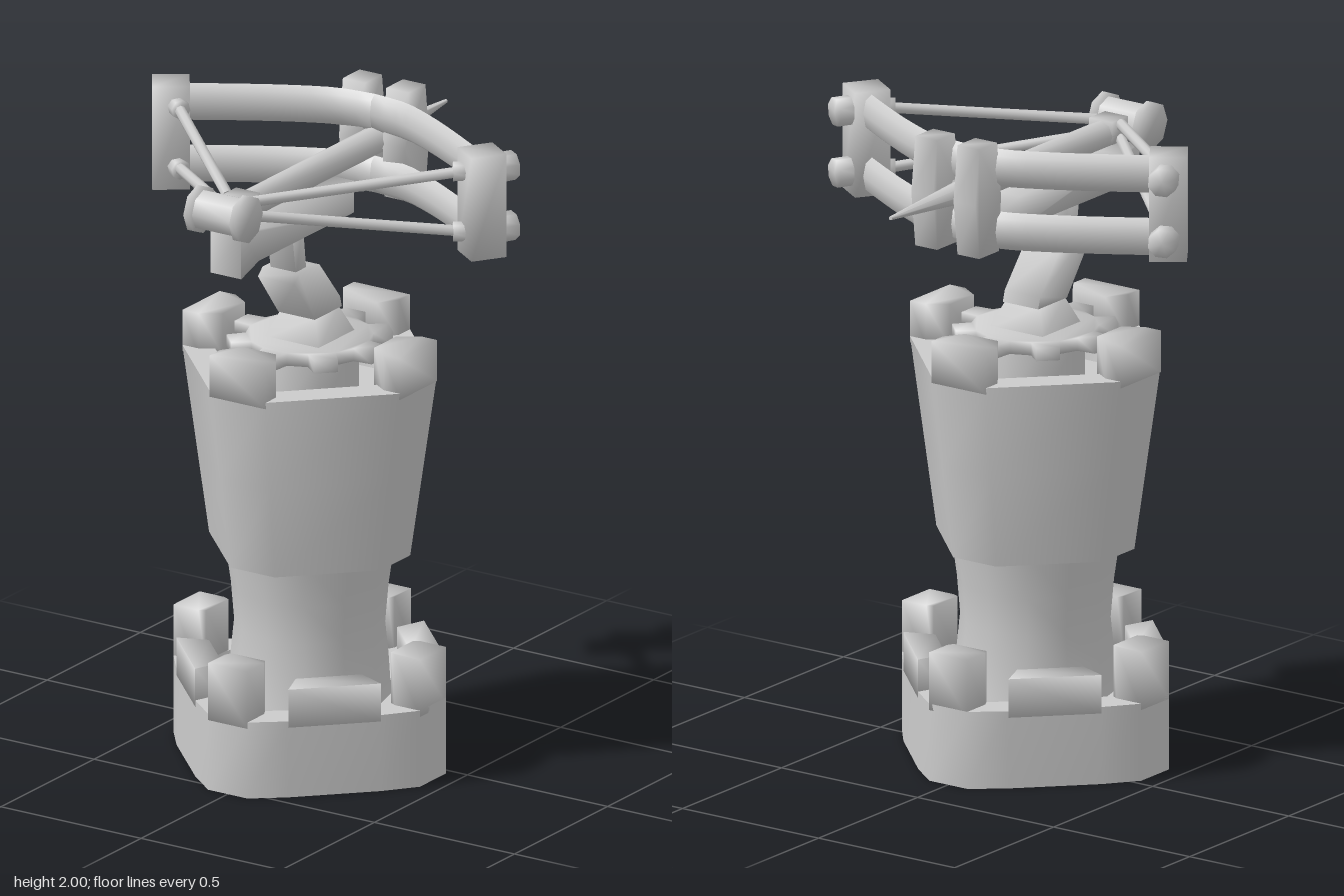
import * as THREE from 'three';
import { toCreasedNormals } from 'three/addons/utils/BufferGeometryUtils.js';

const CZ = 0.095; // z of the tower axis
const SOFT = 1.7; // crease angle that also rounds off right-angled edges
const material = new THREE.MeshStandardMaterial({ color: 0xcccccc });
const V = (x, y, z) => new THREE.Vector3(x, y, z);

function add(parent, name, geometry, crease = 0.9) {
  const mesh = new THREE.Mesh(toCreasedNormals(geometry, crease), material);
  mesh.name = name;
  parent.add(mesh);
  return mesh;
}

const shapeOf = (pts) => new THREE.Shape(pts.map(([x, y]) => new THREE.Vector2(x, y)));

// Plan outline raised from y0 to y1
function prism(pts, y0, y1) {
  const g = new THREE.ExtrudeGeometry(shapeOf(pts), { depth: y1 - y0, bevelEnabled: false });
  return g.rotateX(-Math.PI / 2).translate(0, y0, 0);
}

// Side outline of (z, y) points, extruded from x0 to x1
function sideProfile(pts, x0, x1) {
  const g = new THREE.ExtrudeGeometry(shapeOf(pts), { depth: x1 - x0, bevelEnabled: false });
  return g.rotateY(-Math.PI / 2).translate(x1, 0, 0);
}

// Cylinder or cone between two points
function rod(a, b, r0, r1 = r0, sides = 8) {
  const d = b.clone().sub(a);
  const g = new THREE.CylinderGeometry(r1, r0, d.length(), sides);
  g.applyQuaternion(new THREE.Quaternion().setFromUnitVectors(V(0, 1, 0), d.clone().normalize()));
  const m = a.clone().add(b).multiplyScalar(0.5);
  return g.translate(m.x, m.y, m.z);
}

// Loft through rings [y, scale]; the outline is a quarter repeated four times
function quarterLoft(quarter, rings) {
  const pos = [];
  const idx = [];
  const n = quarter.length * 4;
  for (const [y, f] of rings) {
    for (let k = 0; k < 4; k++) {
      const c = Math.cos(k * Math.PI / 2), s = Math.sin(k * Math.PI / 2);
      for (const [a, t] of quarter) pos.push(f * (a * c - t * s), y, -f * (a * s + t * c));
    }
  }
  for (let i = 0; i < rings.length - 1; i++) {
    for (let j = 0; j < n; j++) {
      const a = i * n + j, b = i * n + (j + 1) % n;
      idx.push(a, b, b + n, a, b + n, a + n);
    }
  }
  const g = new THREE.BufferGeometry();
  g.setAttribute('position', new THREE.Float32BufferAttribute(pos, 3));
  g.setIndex(idx);
  return g;
}

function lathe(pts, sides) {
  return new THREE.LatheGeometry(pts.map(([r, y]) => new THREE.Vector2(r, y)), sides);
}

function buildTower() {
  const tower = new THREE.Group();
  tower.name = 'tower';
  tower.position.z = CZ;

  // Footing ring with recessed underside, and the waisted shaft
  const footing = [[0.44, -0.07], [0.44, 0.07], [0.365, 0.165], [0.165, 0.365]];
  add(tower, 'footing', quarterLoft(footing, [[0.07, 0.55], [0.06, 0.85], [0, 0.93], [0, 1], [0.24, 1],
    [0.24, 0.75], [0.2, 0.72], [0.2, 0.5]]));
  add(tower, 'shaft', lathe([[0, 0.17], [0.26, 0.17], [0.27, 0.065], [0.28, 0.065], [0.24, 0.24], [0.235, 0.32],
    [0.225, 0.42], [0.235, 0.54], [0.255, 0.68]], 12));

  // Footing battlements: tall on the axes, low and wide on the diagonals
  const tall = [[0.33, -0.06], [0.35, -0.07], [0.44, -0.07], [0.44, 0.07], [0.35, 0.07], [0.33, 0.06]];
  const low = [[0.285, -0.1], [0.375, -0.14], [0.375, 0.14], [0.285, 0.1]];
  for (let i = 0; i < 4; i++) {
    add(tower, 'tallMerlon', prism(tall, 0.22, 0.4), SOFT).rotation.y = i * Math.PI / 2;
    add(tower, 'lowMerlon', prism(low, 0.22, 0.34), SOFT).rotation.y = (i + 0.5) * Math.PI / 2;
  }

  // Flared upper body with a recessed top
  add(tower, 'upperBody', quarterLoft([[0.388, -0.1], [0.388, 0.1]], [[0.66, 0], [0.66, 0.79], [0.95, 0.895],
    [1.24, 1], [1.24, 0.74], [1.14, 0.71], [1.14, 0]]));
  const merlon = [[0.27, -0.06], [0.33, -0.1], [0.388, -0.1], [0.388, 0.1], [0.33, 0.1], [0.27, 0.06]];
  for (let i = 0; i < 4; i++) {
    add(tower, 'upperMerlon', prism(merlon, 1.22, 1.35), SOFT).rotation.y = i * Math.PI / 2;
  }

  // Turning gear
  const teeth = [];
  for (let i = 0; i < 8; i++) {
    const c = Math.cos(i * Math.PI / 4), s = Math.sin(i * Math.PI / 4);
    for (const [r, t] of [[0.185, -0.042], [0.245, -0.036], [0.245, 0.036], [0.185, 0.042]]) {
      teeth.push([r * c - t * s, r * s + t * c]);
    }
  }
  add(tower, 'gearColumn', new THREE.CylinderGeometry(0.15, 0.15, 0.16, 8).translate(0, 1.215, 0));
  add(tower, 'gear', prism(teeth, 1.285, 1.325), SOFT);
  return tower;
}

function buildMount() {
  const mount = new THREE.Group();
  mount.name = 'mount';
  // Tapered pedestal, bent neck and post
  const pedestal = new THREE.CylinderGeometry(0.062 * Math.SQRT2, 0.1 * Math.SQRT2, 0.09, 4);
  add(mount, 'pedestal', pedestal.rotateY(Math.PI / 4).translate(0, 1.36, CZ), SOFT);
  add(mount, 'neck', sideProfile([[0.165, 1.4], [0.275, 1.545], [0.25, 1.568], [0.14, 1.568], [0.03, 1.435], [0.02, 1.4]],
    -0.065, 0.065), SOFT);
  add(mount, 'post', sideProfile([[0.235, 1.55], [0.26, 1.72], [0.2, 1.72], [0.18, 1.55]], -0.045, 0.045), SOFT);
  return mount;
}

function buildBow() {
  const bow = new THREE.Group();
  bow.name = 'bow';

  // Stock with a flared butt, and the bolt lying above it
  add(bow, 'stock', sideProfile([[0.545, 1.64], [0.45, 1.67], [-0.06, 1.67], [-0.06, 1.77], [0.45, 1.77], [0.545, 1.78]],
    -0.055, 0.055), SOFT);
  add(bow, 'boltShaft', rod(V(0, 1.83, 0.47), V(0, 1.83, -0.28), 0.043));
  add(bow, 'boltTip', rod(V(0, 1.83, -0.27), V(0, 1.838, -0.637), 0.038, 0.006));

  // Winch drum that draws the strings
  add(bow, 'drumLink', new THREE.BoxGeometry(0.085, 0.07, 0.08).translate(0, 1.84, 0.465), SOFT);
  add(bow, 'drum', rod(V(-0.08, 1.84, 0.56), V(0.08, 1.84, 0.56), 0.062));

  for (const s of [-1, 1]) {
    add(bow, 'drumFlange', rod(V(s * 0.07, 1.84, 0.56), V(s * 0.093, 1.84, 0.56), 0.074), SOFT);

    // Clamp post beside the bolt
    add(bow, 'clamp', sideProfile([[-0.25, 1.66], [-0.35, 1.66], [-0.37, 1.83], [-0.35, 2], [-0.26, 2], [-0.24, 1.83]],
      s * 0.0775 - 0.04, s * 0.0775 + 0.04), SOFT);

    // Upright block at the end of the limbs
    const block = add(bow, 'limbEnd', new THREE.BoxGeometry(0.112, 0.325, 0.112), SOFT);
    block.position.set(s * 0.555, 1.822, 0.005);
    block.rotation.y = s * -0.6;

    for (const y of [1.92, 1.73]) {
      const path = new THREE.CatmullRomCurve3([V(0, 0, -0.255), V(s * 0.12, 0, -0.24), V(s * 0.24, 0, -0.188),
        V(s * 0.38, 0, -0.11), V(s * 0.55, 0, -0.005)]);
      // Flattened bow limb
      const limb = new THREE.TubeGeometry(path, 12, 0.027, 8).scale(1, 2.15, 1).translate(0, y > 1.8 ? 1.917 : 1.722, 0);
      add(bow, 'limb', limb, 1.1);
      // Rear peg, string cap and string
      add(bow, 'peg', rod(V(s * 0.56, y, -0.01), V(s * 0.602, y, -0.092), 0.045), SOFT);
      add(bow, 'stringCap', rod(V(s * 0.54, y, 0.015), V(s * 0.485, y, 0.055), 0.03), SOFT);
      add(bow, 'string', rod(V(s * 0.51, y, 0.035), V(s * 0.045, y > 1.8 ? 1.86 : 1.815, 0.465), 0.017));
    }
  }
  return bow;
}

export function createModel() {
  const model = new THREE.Group();
  model.name = 'ballistaTower';
  model.add(buildTower(), buildMount(), buildBow());
  return model;
}
